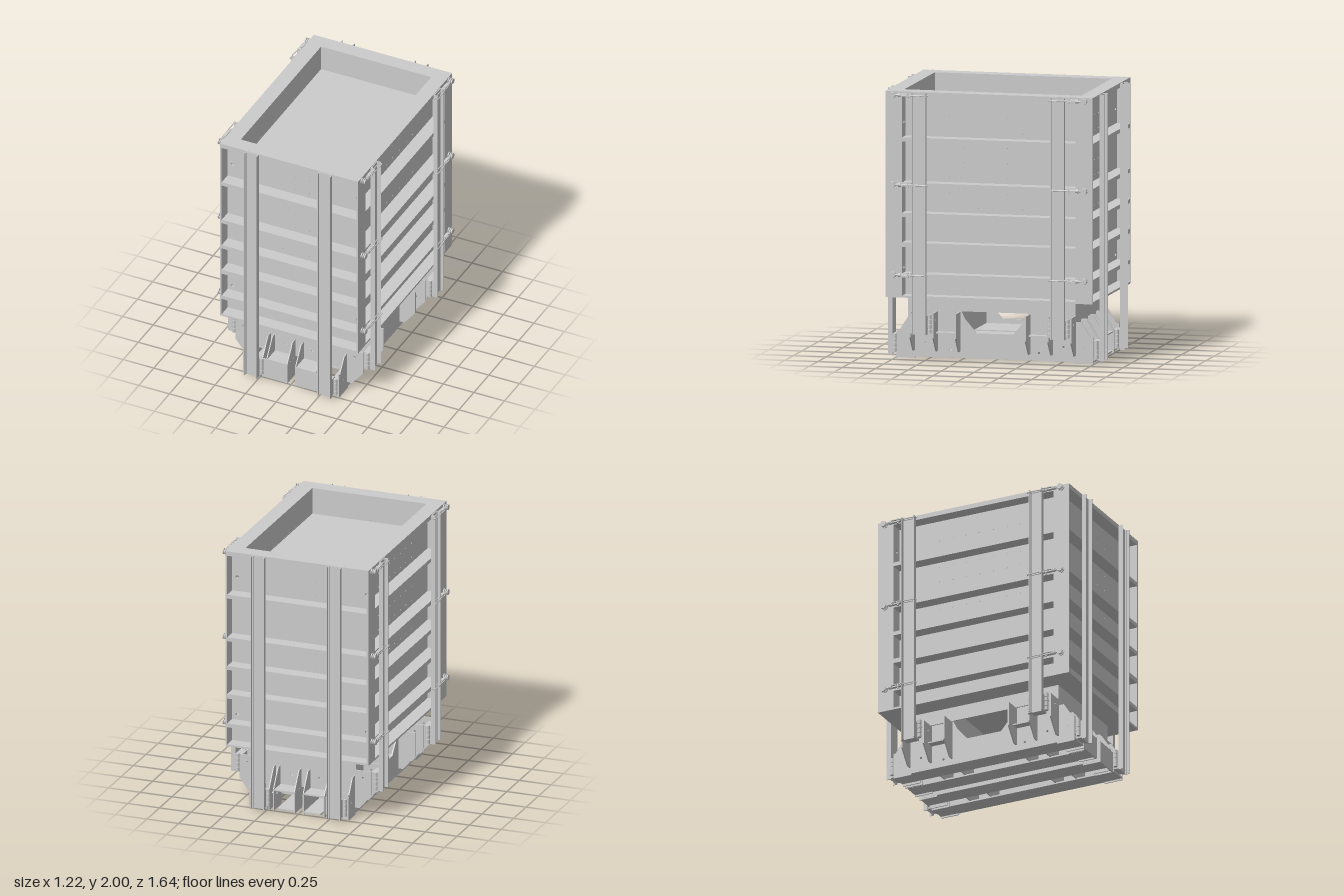
import * as THREE from 'three';

const mat = new THREE.MeshStandardMaterial({ color: 0xcccccc, side: THREE.DoubleSide });
const SIGNS = [1, -1];

function add(parent, name, geometry) {
  const mesh = new THREE.Mesh(geometry, mat);
  mesh.name = name;
  parent.add(mesh);
  return mesh;
}

// Box given by its limits on each axis
function box(parent, name, x0, x1, y0, y1, z0, z1) {
  const mesh = add(parent, name, new THREE.BoxGeometry(Math.abs(x1 - x0), y1 - y0, Math.abs(z1 - z0)));
  mesh.position.set((x0 + x1) / 2, (y0 + y1) / 2, (z0 + z1) / 2);
  return mesh;
}

// Flat plate with round holes [x, y, r], extruded along z
function plate(parent, name, points, holes, z0, z1) {
  const shape = new THREE.Shape(points.map(p => new THREE.Vector2(...p)));
  for (const [x, y, r] of holes) {
    const path = new THREE.Path();
    path.absarc(x, y, r, 0, Math.PI * 2, true);
    shape.holes.push(path);
  }
  const g = new THREE.ExtrudeGeometry(shape, { depth: z1 - z0, bevelEnabled: false, curveSegments: 8 });
  g.translate(0, 0, z0);
  return add(parent, name, g);
}

// Same, but points are [z, y] and the plate is centred at x
function platePlaneZY(parent, name, points, holes, x, t) {
  const mesh = plate(parent, name, points, holes, -t / 2, t / 2);
  mesh.rotation.y = -Math.PI / 2;
  mesh.position.x = x;
  return mesh;
}

function rod(parent, name, r, length, axis, x, y, z, sides = 12) {
  const g = new THREE.CylinderGeometry(r, r, length, sides);
  if (axis === 'x') g.rotateZ(Math.PI / 2);
  if (axis === 'z') g.rotateX(Math.PI / 2);
  const mesh = add(parent, name, g);
  mesh.position.set(x, y, z);
  return mesh;
}

const rect = (x0, x1, y0, y1) => [[x0, y0], [x1, y0], [x1, y1], [x0, y1]];

const BOTTOM = 0.47;
const RIBS = [[1.965, 2], [1.63, 1.66], [1.295, 1.325], [1.07, 1.1], [0.845, 0.88], [0.62, 0.65], [0.47, 0.485]];
const STUD_ROWS = [1.81, 1.7, 1.59, 1.475, 1.365, 1.25, 1.14];
const EYE_ROWS = [1.77, 0.69];

// Channel column with its open side facing outward (+z)
function channel(parent, name, x, z, y0) {
  box(parent, name + 'Web', x - 0.053, x + 0.053, y0, 1.995, z, z + 0.007);
  for (const s of SIGNS) {
    box(parent, name + 'Flange', x + s * 0.053, x + s * 0.047, y0, 1.995, z, z + 0.035);
    box(parent, name + 'Root', x + s * 0.049, x + s * 0.041, y0, 1.995, z, z + 0.014);
  }
}

// End panel: skin, ribs, edge plates, studs and two channel columns
function endPanel() {
  const g = new THREE.Group();
  const holes = SIGNS.flatMap(s => EYE_ROWS.map(y => [s * 0.51, y, 0.013]));
  plate(g, 'endSkin', rect(-0.565, 0.565, BOTTOM, 2), holes, 0.67, 0.685);
  for (const [a, b] of RIBS) box(g, 'endRib', -0.565, 0.565, a, b, 0.68, 0.785);
  for (const s of SIGNS) {
    box(g, 'endEdgePlate', s * 0.55, s * 0.565, BOTTOM, 2, 0.67, 0.785);
    channel(g, 'endColumn', s * 0.3, 0.785, 0.02);
  }
  for (const y of STUD_ROWS)
    for (let i = -2; i <= 2; i++) rod(g, 'endStud', 0.007, 0.018, 'z', i * 0.111, y, 0.6785, 8);
  return g;
}

// Side panel on +x
function sidePanel() {
  const g = new THREE.Group();
  box(g, 'sideSkin', 0.45, 0.465, BOTTOM, 2, -0.67, 0.67);
  for (const [a, b] of RIBS) box(g, 'sideRib', 0.46, 0.565, a, b, -0.67, 0.67);
  const columns = new THREE.Group();
  columns.name = 'sideColumns';
  columns.rotation.y = Math.PI / 2;
  g.add(columns);
  for (const s of SIGNS) {
    plate(g, 'sideEndPlate', rect(0.45, 0.565, BOTTOM, 2), EYE_ROWS.map(y => [0.51, y, 0.013]),
      s * 0.664 - 0.006, s * 0.664 + 0.006);
    channel(columns, 'sideColumn', s * 0.525, 0.565, 0.2);
  }
  for (const y of STUD_ROWS)
    for (let i = -3; i <= 3; i++) rod(g, 'sideStud', 0.007, 0.018, 'x', 0.4585, y, i * 0.111, 8);
  return g;
}

// Corner turnbuckle clamp on the +x, +z corner
function clamp(y) {
  const g = new THREE.Group();
  rod(g, 'clampPin', 0.011, 0.04, 'x', 0.583, 0, 0.725);
  rod(g, 'clampPinHead', 0.022, 0.008, 'x', 0.599, 0, 0.725);
  rod(g, 'clampPinCollar', 0.024, 0.008, 'x', 0.571, 0, 0.725);
  const eye = add(g, 'clampEye', new THREE.TorusGeometry(0.018, 0.006, 6, 16));
  eye.rotation.y = Math.PI / 2;
  eye.position.set(0.585, 0, 0.725);
  rod(g, 'clampScrew', 0.007, 0.14, 'z', 0.587, 0, 0.635);
  for (const s of SIGNS) box(g, 'clampCheek', 0.575, 0.6, s * 0.008, s * 0.008 + 0.006, 0.585, 0.665);
  rod(g, 'clampNut', 0.015, 0.022, 'z', 0.587, 0, 0.672, 6);
  rod(g, 'clampPivot', 0.008, 0.036, 'y', 0.587, 0, 0.61, 8);
  const loop = [[0.58, 0.6], [0.578, 0.47], [0.583, 0.46], [0.6, 0.46], [0.605, 0.47], [0.605, 0.55], [0.597, 0.6]];
  const curve = new THREE.CatmullRomCurve3(loop.map(([x, z]) => new THREE.Vector3(x, 0, z)), false, 'catmullrom', 0.1);
  add(g, 'clampHandle', new THREE.TubeGeometry(curve, 24, 0.004, 6));
  g.position.y = y;
  return g;
}

// One quarter of the base brackets on +x, +z
function baseQuarter() {
  const g = new THREE.Group();
  // Gussets reaching to the end column
  for (const x of [0.035, 0.2, 0.235, 0.387])
    platePlaneZY(g, 'endGusset', [[0.6, 0], [0.745, 0], [0.745, 0.17], [0.655, 0.31], [0.6, 0.31]],
      [[0.685, 0.12, 0.009]], x, 0.008);
  box(g, 'endColumnMount', 0.25, 0.35, 0.03, 0.17, 0.735, 0.785);
  box(g, 'endShelf', 0.04, 0.2, 0.155, 0.165, 0.6, 0.745);
  // Gussets reaching to the side column
  for (const z of [0.265, 0.435, 0.61])
    plate(g, 'sideGusset', [[0.385, 0.06], [0.43, 0.06], [0.52, 0.17], [0.52, 0.355], [0.385, 0.355]],
      z === 0.265 ? [] : [[0.455, 0.3, 0.009]], z - 0.005, z + 0.005);
  box(g, 'sideShelf', 0.385, 0.45, 0.195, 0.205, 0.265, 0.435);
  box(g, 'sideColumnMount', 0.51, 0.565, 0.2, 0.34, 0.475, 0.575);
  // Upright wall between skid and top frame
  platePlaneZY(g, 'supportWall', [[0.13, 0.19], [0.615, 0.19], [0.615, 0.365], [0.255, 0.365], [0.225, 0.3]],
    [], 0.385, 0.01);
  // Stacked bolt sleeves on both flanks of each column
  for (let i = 0; i < 4; i++) {
    for (const z of [0.455, 0.59]) rod(g, 'sideBoltSleeve', 0.015, 0.032, 'y', 0.545, 0.225 + i * 0.036, z);
    for (const x of [0.235, 0.37]) rod(g, 'endBoltSleeve', 0.015, 0.032, 'y', x, 0.055 + i * 0.034, 0.765);
  }
  for (const z of [0.265, 0.435]) box(g, 'skidCrossPlate', 0.035, 0.387, 0.02, 0.16, z - 0.005, z + 0.005);
  return g;
}

// Long skid on +x
function skid() {
  const g = new THREE.Group();
  const holes = SIGNS.flatMap(s => [[s * 0.52, 0.12, 0.009], [s * 0.335, 0.07, 0.009]]);
  platePlaneZY(g, 'skidOuterWeb', rect(-0.745, 0.745, 0.012, 0.2), holes, 0.385, 0.01);
  box(g, 'skidInnerWeb', 0.03, 0.04, 0.012, 0.165, -0.745, 0.745);
  box(g, 'skidOuterFlange', 0.25, 0.39, 0.012, 0.024, -0.745, 0.745);
  box(g, 'skidInnerFlange', 0.03, 0.17, 0.012, 0.024, -0.745, 0.745);
  box(g, 'skidTop', 0.03, 0.39, 0.155, 0.165, -0.62, 0.62);
  box(g, 'skidFrontPlate', 0.03, 0.235, 0, 0.16, 0.735, 0.745);
  return g;
}

export function createModel() {
  const model = new THREE.Group();
  model.name = 'formworkBox';
  const place = (name, part, sx, sz) => {
    part.name = name;
    part.scale.set(sx, 1, sz);
    model.add(part);
  };

  for (const s of SIGNS) {
    place('endPanel', endPanel(), 1, s);
    place('sidePanel', sidePanel(), s, 1);
    place('skid', skid(), s, 1);
    for (const t of SIGNS) {
      for (const y of [1.975, 1.31, 0.64]) place('cornerClamp', clamp(y), s, t);
      place('baseBrackets', baseQuarter(), s, t);
    }
  }

  // Inner floor and underside
  box(model, 'innerFloor', -0.45, 0.45, 1.78, 1.8, -0.67, 0.67);
  box(model, 'underside', -0.46, 0.46, BOTTOM, 0.485, -0.68, 0.68);

  // Frame between the box and the base
  for (const s of SIGNS) {
    box(model, 'frameSide', s * 0.39, s * 0.4, 0.36, BOTTOM, -0.615, 0.615);
    plate(model, 'frameEnd', rect(-0.395, 0.395, 0.165, BOTTOM),
      [[-0.11, 0.25, 0.009], [0.11, 0.25, 0.009]], s * 0.61 - 0.005, s * 0.61 + 0.005);
    box(model, 'frameCrossBeam', -0.39, 0.39, 0.165, BOTTOM, s * 0.26, s * 0.27);
  }
  return model;
}
